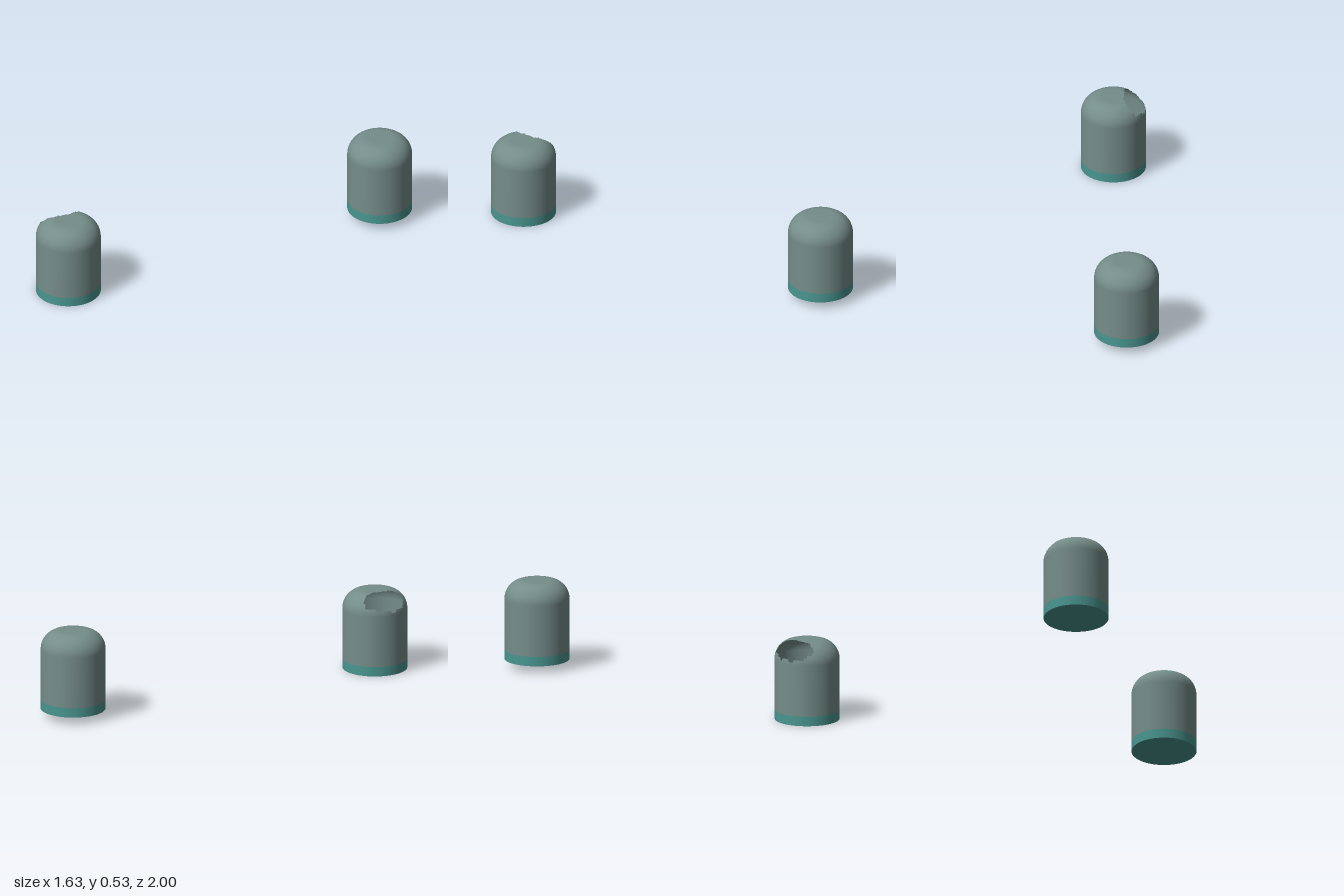
import * as THREE from 'three';

const R = 0.193, BASE_H = 0.058, TOP = 0.483, ROUND = 0.113;
const SEGMENTS = 72, ARC_STEPS = 12, FLAT_STEPS = 5;

const shellMat = new THREE.MeshStandardMaterial({ color: 0x758d8a, side: THREE.DoubleSide });
shellMat.name = 'greyShell';
const baseMat = new THREE.MeshStandardMaterial({ color: 0x4a9690 });
baseMat.name = 'tealBase';

// Half outline of the shell, from the base up the wall and over to the centre
function shellProfile() {
  const pts = [new THREE.Vector2(R, BASE_H)];
  for (let i = 0; i <= ARC_STEPS; i++) {
    const a = (i / ARC_STEPS) * Math.PI / 2;
    pts.push(new THREE.Vector2(R - ROUND + ROUND * Math.cos(a), TOP - ROUND + ROUND * Math.sin(a)));
  }
  for (let i = 1; i <= FLAT_STEPS; i++) {
    pts.push(new THREE.Vector2((R - ROUND) * (1 - i / FLAT_STEPS), TOP));
  }
  return pts;
}

// Whether a shell cell lies in the ragged hole; s is the distance from the crown
function inHole(s, phi, cell) {
  const jag = 0.12 * Math.sin(cell * 12.9898);
  const u = Math.abs((s - 0.147) / 0.086), v = Math.abs((phi - 4.03) / 0.9);
  return u ** 2.4 + v ** 2.4 < 1 + jag;
}

function shellGeometry(broken) {
  const pts = shellProfile();
  const geo = new THREE.LatheGeometry(pts, SEGMENTS);
  if (!broken) return geo;
  // Distance along the outline from the crown to each ring
  const dist = new Array(pts.length).fill(0);
  for (let j = pts.length - 2; j >= 0; j--) dist[j] = dist[j + 1] + pts[j].distanceTo(pts[j + 1]);
  // Drop the cells inside the hole
  const rows = pts.length - 1, kept = [], index = geo.index.array;
  for (let cell = 0; cell < SEGMENTS * rows; cell++) {
    const col = Math.floor(cell / rows), row = cell % rows;
    const s = (dist[row] + dist[row + 1]) / 2;
    const phi = (col + 0.5) / SEGMENTS * Math.PI * 2;
    if (row > 0 && inHole(s, phi, cell)) continue;
    kept.push(...index.slice(cell * 6, cell * 6 + 6));
  }
  geo.setIndex(kept);
  return geo;
}

function makeCapsule(name, broken) {
  const group = new THREE.Group();
  group.name = name;
  const base = new THREE.Mesh(new THREE.CylinderGeometry(R, R, BASE_H, SEGMENTS), baseMat);
  base.name = 'base';
  base.position.y = BASE_H / 2;
  const shell = new THREE.Mesh(shellGeometry(broken), shellMat);
  shell.name = 'shell';
  group.add(base, shell);
  return group;
}

export function createModel() {
  const model = new THREE.Group();
  model.name = 'capsulePair';
  const front = makeCapsule('brokenCapsule', true);
  front.position.set(-0.623, 0, 0.807);
  const back = makeCapsule('wholeCapsule', false);
  back.position.set(0.623, 0.047, -0.807);
  model.add(front, back);
  return model;
}
